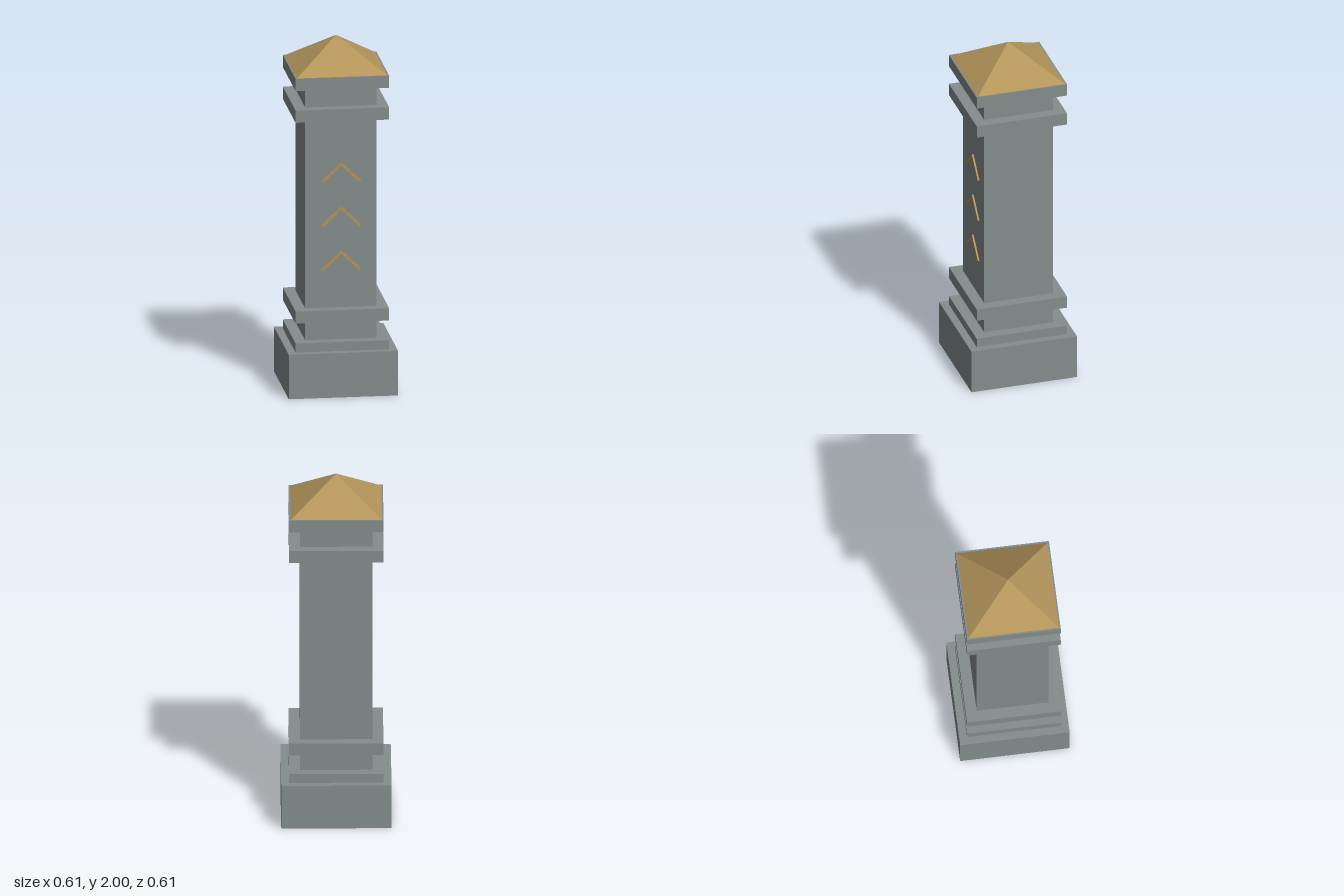
import * as THREE from 'three';

export function createModel() {
  const model = new THREE.Group();
  model.name = 'stonePillar';
  const stone = new THREE.MeshStandardMaterial({ color: 0x858d8d });
  stone.name = 'grey stone';
  const gold = new THREE.MeshStandardMaterial({ color: 0xb3945a });
  gold.name = 'antique gold';

  const add = (name, geometry, material) => {
    const mesh = new THREE.Mesh(geometry, material);
    mesh.name = name;
    model.add(mesh);
    return mesh;
  };

  // Square stone courses: name, half width, bottom, top
  const courses = [
    ['base', 0.306, 0, 0.255],
    ['plinth', 0.262, 0.255, 0.307],
    ['shaft', 0.2, 0.307, 1.755],
    ['lowerCollar', 0.262, 0.42, 0.49],
    ['upperCollar', 0.262, 1.573, 1.643],
    ['capSlab', 0.262, 1.755, 1.825],
  ];
  for (const [name, half, y0, y1] of courses) {
    add(name, new THREE.BoxGeometry(half * 2, y1 - y0, half * 2), stone)
      .position.y = (y0 + y1) / 2;
  }

  // Pyramid cap, turned so its sides line up with the shaft
  const roof = new THREE.ConeGeometry(0.253 * Math.SQRT2, 0.175, 4).toNonIndexed();
  roof.computeVertexNormals();
  roof.rotateY(Math.PI / 4);
  add('pyramidCap', roof, gold).position.y = 1.9125;

  // Three raised chevrons on the front, peak at the local origin
  const shape = new THREE.Shape([
    [0, 0], [-0.112, -0.108], [-0.101, -0.119], [0, -0.021], [0.101, -0.119], [0.112, -0.108],
  ].map(([x, y]) => new THREE.Vector2(x, y)));
  const chevron = new THREE.ExtrudeGeometry(shape, { depth: 0.0095, bevelEnabled: false });
  for (let i = 0; i < 3; i++) {
    add('chevron' + (i + 1), chevron, gold).position.set(0, 0.819 + i * 0.253, 0.2);
  }
  return model;
}
